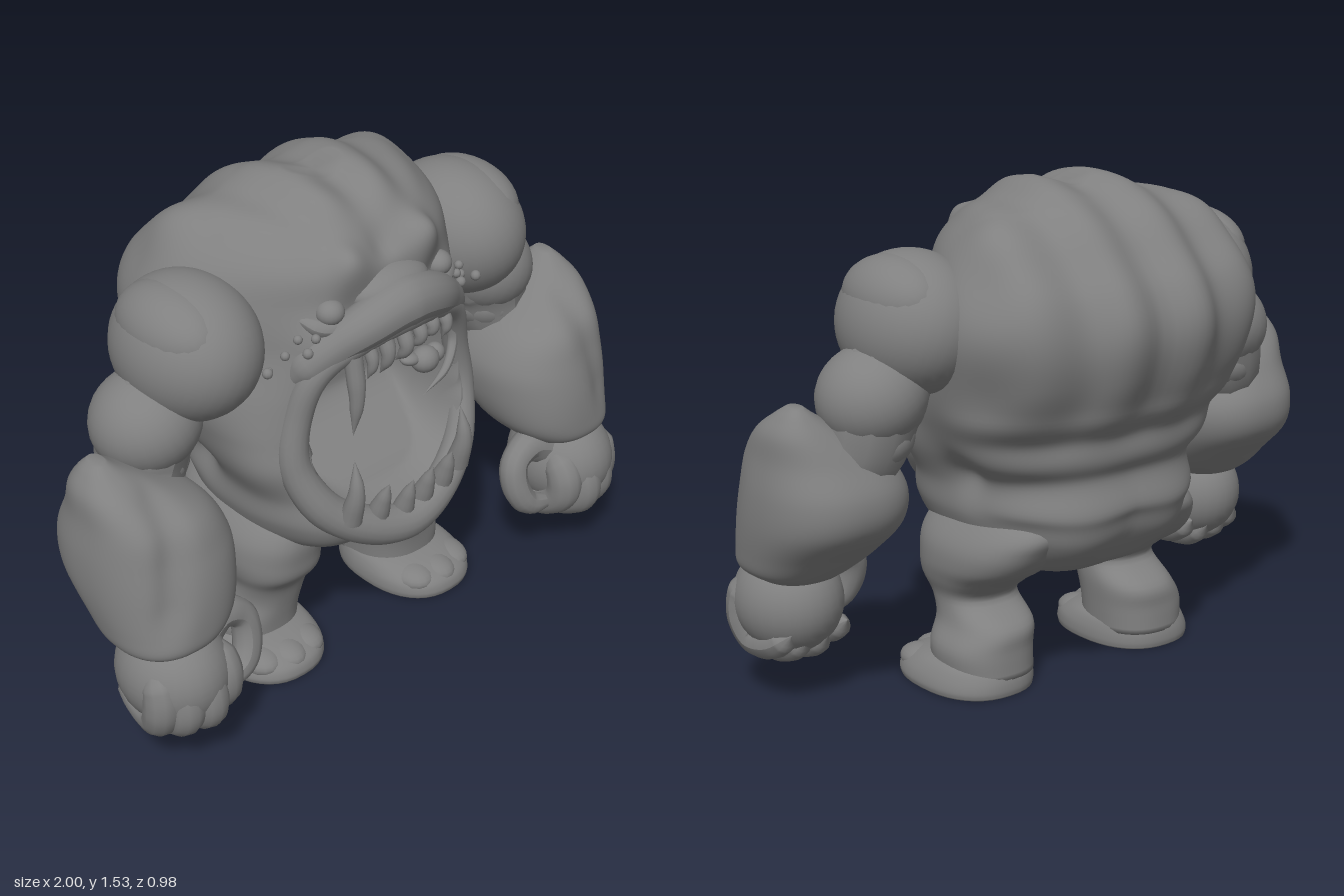
import * as THREE from 'three';

const { smoothstep, lerp } = THREE.MathUtils;
const V = (x, y, z) => new THREE.Vector3(x, y, z);
const bell = (d, r) => Math.exp(-(d * d) / (r * r));

export function createModel() {
  const model = new THREE.Group();
  model.name = 'ogre';
  const skin = new THREE.MeshStandardMaterial({ color: 0x808080 });
  skin.name = 'grey skin';

  const add = (name, geometry) => {
    const mesh = new THREE.Mesh(geometry, skin);
    mesh.name = name;
    model.add(mesh);
  };

  // Smooth stack of rounded rings, each [y, cx, rx, cz, rz], listed upwards and closed at both ends
  function loft(name, rings, { seg = 40, rows = 40, power = 0.85, deform } = {}) {
    const centres = new THREE.CatmullRomCurve3(rings.map(r => V(r[1], r[0], r[3])), false, 'catmullrom', 0.5);
    const radii = new THREE.CatmullRomCurve3(rings.map(r => V(r[2], 0, r[4])), false, 'catmullrom', 0.5);
    const pos = [], index = [];
    const put = v => { if (deform) deform(v); pos.push(v.x, v.y, v.z); };
    const bend = t => Math.sign(t) * Math.abs(t) ** power;
    for (let j = 0; j <= rows; j++) {
      const c = centres.getPoint(j / rows), r = radii.getPoint(j / rows);
      for (let i = 0; i < seg; i++) {
        const a = i / seg * Math.PI * 2;
        put(V(c.x + r.x * bend(Math.cos(a)), c.y, c.z + r.z * bend(Math.sin(a))));
      }
    }
    for (let j = 0; j < rows; j++) for (let i = 0; i < seg; i++) {
      const n = (i + 1) % seg, p = j * seg + i, q = j * seg + n;
      index.push(p, p + seg, q, q, p + seg, q + seg);
    }
    // end caps
    const low = pos.length / 3, top = rows * seg;
    put(centres.getPoint(0));
    put(centres.getPoint(1));
    for (let i = 0; i < seg; i++) {
      const n = (i + 1) % seg;
      index.push(low, i, n, low + 1, top + n, top + i);
    }
    const g = new THREE.BufferGeometry();
    g.setAttribute('position', new THREE.Float32BufferAttribute(pos, 3));
    g.setIndex(index);
    g.computeVertexNormals();
    add(name, g);
  }

  // Tube whose thickness follows a list of radii
  function limb(name, points, radii, { closed = false, steps = 28, sides = 12 } = {}) {
    const path = new THREE.CatmullRomCurve3(points.map(p => V(...p)), closed);
    const g = new THREE.TubeGeometry(path, steps, 1, sides, closed);
    const p = g.attributes.position, v = V(0, 0, 0);
    for (let i = 0; i <= steps; i++) {
      const c = path.getPointAt(i / steps), t = i / steps * (radii.length - 1);
      const k = Math.min(Math.floor(t), radii.length - 2), r = lerp(radii[k], radii[k + 1], t - k);
      for (let j = 0; j <= sides; j++) {
        const n = i * (sides + 1) + j;
        v.fromBufferAttribute(p, n).sub(c).multiplyScalar(r).add(c);
        p.setXYZ(n, v.x, v.y, v.z);
      }
    }
    if (!closed) g.computeVertexNormals();
    add(name, g);
  }

  function ball(name, [x, y, z], [rx, ry, rz], tilt = 0, detail = 28) {
    const g = new THREE.SphereGeometry(1, detail, Math.ceil(detail * 0.7));
    g.scale(rx, ry, rz).rotateZ(tilt).translate(x, y, z);
    add(name, g);
  }

  // Muscle lumps and hollows on the body: x, y, z, reach, height (mirrored)
  const lumps = [
    [0.18, 1.335, 0.29, 0.075, 0.055], [0.2, 1.24, 0.32, 0.05, -0.02], [0, 1.4, 0.3, 0.06, -0.025],
    [0.46, 0.86, -0.15, 0.13, 0.025], [0.17, 0.5, -0.3, 0.14, 0.03], [0.45, 1.15, -0.28, 0.13, 0.035],
    [0.36, 1.36, -0.15, 0.12, 0.02], [0.4, 0.68, -0.05, 0.07, -0.035], [0.11, 1.13, -0.45, 0.13, 0.025],
    [0.3, 1.12, 0.26, 0.1, 0.04], [0.37, 0.78, 0.22, 0.12, 0.03], [0.25, 0.5, 0.35, 0.1, 0.015],
  ];
  function sculptBody(v) {
    const dir = v.clone().sub(V(0, 0.85, 0)).normalize();
    let h = 0;
    for (const [x, y, z, r, k] of lumps) h += k * bell(V(Math.abs(v.x), v.y, v.z).distanceTo(V(x, y, z)), r);
    const back = smoothstep(-v.z, 0, 0.25);
    // long ridges over the back and crown, folds around the loins
    const ridge = Math.max(back * smoothstep(v.y, 0.75, 1), smoothstep(v.y, 1.4, 1.52));
    h -= 0.016 * ridge * Math.cos(v.x * Math.PI * 2 / 0.25);
    h += 0.012 * back * (1 - smoothstep(v.y, 0.8, 0.95)) * smoothstep(v.y, 0.5, 0.6) * Math.cos(v.y * Math.PI * 2 / 0.15);
    v.addScaledVector(dir, h);
    // the head narrows towards the face
    v.x *= 1 - 0.24 * smoothstep(v.z, -0.2, 0.28) * smoothstep(v.y, 0.85, 1.15);
    // mouth cavity with a floor sloping up to the lower lip
    if (v.z > 0.05) {
      const q = Math.abs(v.x / 0.29) ** 2.8 + Math.abs((v.y - 0.85) / 0.31) ** 2.8;
      const depth = Math.min(v.z, lerp(0.32, 0.06, smoothstep(v.y, 0.54, 0.8)));
      v.z = lerp(v.z, depth, 1 - smoothstep(q, 0.65, 1.05));
    }
  }
  loft('body', [
    [0.35, 0, 0.1, 0, 0.1], [0.38, 0, 0.24, -0.02, 0.19], [0.45, 0, 0.34, 0.04, 0.31], [0.55, 0, 0.39, 0.055, 0.375],
    [0.65, 0, 0.4, 0.05, 0.375], [0.75, 0, 0.44, 0.03, 0.365], [0.85, 0, 0.475, -0.01, 0.37], [1, 0, 0.53, -0.04, 0.4],
    [1.13, 0, 0.55, -0.05, 0.405], [1.25, 0, 0.53, -0.045, 0.38], [1.35, 0, 0.475, -0.015, 0.335],
    [1.43, 0, 0.38, -0.01, 0.26], [1.49, 0, 0.25, 0, 0.165], [1.52, 0, 0.1, 0, 0.06],
  ], { seg: 160, rows: 120, power: 0.82, deform: sculptBody });

  // Lips and the broad arched snout
  const halfLip = [[0.15, 1.155, 0.36], [0.265, 1.07, 0.31], [0.315, 0.93, 0.28], [0.335, 0.78, 0.29], [0.275, 0.63, 0.35], [0.15, 0.54, 0.4]];
  limb('lips', [[0, 1.19, 0.39], ...halfLip, [0, 0.5, 0.42],
    ...halfLip.slice().reverse().map(([x, y, z]) => [-x, y, z])],
  [0.045, 0.04, 0.04, 0.045, 0.055, 0.06, 0.055, 0.045, 0.04, 0.045], { closed: true, steps: 90, sides: 16 });
  limb('snout', [[-0.33, 1.0, 0.22], [-0.24, 1.12, 0.3], [-0.12, 1.2, 0.36], [0, 1.23, 0.372], [0.12, 1.2, 0.36], [0.24, 1.12, 0.3], [0.33, 1.0, 0.22]],
    [0.01, 0.06, 0.06, 0.07, 0.08, 0.07, 0.06, 0.06, 0.01], { steps: 48, sides: 18 });
  ball('noseBridge', [0, 1.26, 0.31], [0.14, 0.07, 0.09]);

  // Upper teeth: x, root y, tip y, thickness
  for (const [x, y, tip, r] of [[-0.18, 1.12, 0.86, 0.028], [-0.13, 1.14, 1.03, 0.02], [-0.08, 1.16, 1.03, 0.024],
    [-0.02, 1.16, 1.05, 0.024], [0.04, 1.16, 1.07, 0.022], [0.1, 1.15, 1.08, 0.022], [0.17, 1.13, 1.05, 0.02]])
    limb('upperTooth', [[x, y, 0.4 - Math.abs(x) * 0.2], [x, (y + tip) / 2, 0.42 - Math.abs(x) * 0.2], [x - 0.01, tip, 0.38]],
      [r, r, r * 0.7, 0], { steps: 12 });
  // Lower teeth: x, root y, tip y
  for (const [x, y, tip] of [[-0.225, 0.6, 0.81], [-0.12, 0.56, 0.7], [-0.02, 0.52, 0.67], [0.06, 0.54, 0.68], [0.14, 0.56, 0.7], [0.21, 0.6, 0.81]])
    limb('lowerTooth', [[x, y, 0.41], [x, (y + tip) / 2, 0.435], [x * 0.98, tip, Math.abs(x) > 0.18 ? 0.42 : 0.46]],
      [0.036, 0.03, 0.02, 0], { steps: 12 });
  // Hanging morsel and curved fang at the mouth corner
  ball('morsel', [0.06, 1.03, 0.41], [0.045, 0.04, 0.04], 0, 16);
  ball('morsel', [0.01, 1.045, 0.4], [0.035, 0.018, 0.025], -0.2, 16);
  ball('morsel', [0.12, 1.02, 0.39], [0.03, 0.03, 0.03], 0, 16);
  limb('curvedFang', [[0.26, 1.05, 0.3], [0.275, 0.96, 0.31], [0.22, 0.9, 0.34], [0.11, 0.86, 0.36]], [0.018, 0.016, 0.012, 0]);

  for (const s of [1, -1]) {
    // Sunken eyes with lower lids, and warts on the cheeks
    ball('eye', [s * 0.21, 1.245, 0.3], [0.043, 0.038, 0.043], 0, 20);
    limb('lowerLid', [[s * 0.14, 1.23, 0.31], [s * 0.19, 1.205, 0.32], [s * 0.24, 1.205, 0.305], [s * 0.29, 1.235, 0.24]], [0.01, 0.026, 0.026, 0.01]);
    for (const [x, y, z, r] of [[0.3, 1.15, 0.31, 0.016], [0.275, 1.19, 0.315, 0.014], [0.315, 1.19, 0.285, 0.014],
      [0.345, 1.14, 0.265, 0.014], [0.38, 1.09, 0.235, 0.013], [0.41, 1.11, 0.265, 0.016]])
      ball('wart', [s * x, y, z], [r, r, r], 0, 10);

    // Arm
    ball('shoulder', [s * 0.525, 1.155, 0.05], [0.2, 0.212, 0.245], s * 0.35, 36);
    ball('shoulderCap', [s * 0.58, 1.24, 0.05], [0.125, 0.115, 0.19], -s * 0.5);
    ball('upperArm', [s * 0.67, 0.965, 0.04], [0.165, 0.15, 0.165], -s * 0.4);
    limb('armCore', [[s * 0.58, 1.08, 0.04], [s * 0.67, 0.93, 0.04], [s * 0.7, 0.82, 0.05], [s * 0.76, 0.68, 0.12]], [0.13, 0.15, 0.13, 0.1]);
    ball('elbow', [s * 0.67, 0.84, 0.04], [0.12, 0.095, 0.13], -s * 0.3);
    loft('forearm', [
      [0.41, s * 0.81, 0.12, 0.25, 0.13], [0.44, s * 0.805, 0.165, 0.25, 0.17], [0.5, s * 0.785, 0.2, 0.22, 0.205],
      [0.6, s * 0.775, 0.222, 0.165, 0.25], [0.7, s * 0.775, 0.22, 0.145, 0.245], [0.8, s * 0.8, 0.18, 0.15, 0.2],
      [0.88, s * 0.86, 0.11, 0.13, 0.13], [0.93, s * 0.885, 0.055, 0.11, 0.07], [0.96, s * 0.89, 0.02, 0.1, 0.03],
    ], { seg: 72, rows: 48, deform: v => {
      // soft crease between the inner and outer muscle
      const crease = bell(Math.abs(v.x) - 0.86 + (v.y - 0.65) * 0.2, 0.05);
      v.z -= 0.025 * crease * smoothstep(v.z, 0.15, 0.28) * smoothstep(v.y, 0.45, 0.6);
    } });

    // Fist with curled fingers and an arched thumb
    ball('palm', [s * 0.81, 0.31, 0.3], [0.16, 0.165, 0.18]);
    [0.715, 0.785, 0.855, 0.91].forEach((x, i) => {
      const up = [0.03, 0, 0.005, 0.03][i], out = [-0.015, 0.005, -0.01, -0.045][i];
      limb('finger', [[s * x, 0.38, 0.35], [s * x, 0.29 + up, 0.42 + out], [s * x, 0.22 + up, 0.42 + out],
        [s * (x - 0.01), 0.165 + up, 0.34], [s * (x - 0.015), 0.17 + up, 0.25], [s * (x - 0.02), 0.22 + up, 0.16]],
      [0.03, 0.055, 0.058, 0.058, 0.056, 0.053, 0.05, 0.045, 0.038, 0], { steps: 36 });
    });
    limb('thumb', [[s * 0.73, 0.38, 0.3], [s * 0.64, 0.42, 0.31], [s * 0.57, 0.38, 0.32], [s * 0.565, 0.3, 0.34], [s * 0.6, 0.24, 0.36], [s * 0.68, 0.22, 0.38]],
      [0.08, 0.065, 0.052, 0.045, 0.045, 0.045, 0.043, 0.036, 0.02]);

    // Leg
    loft('leg', [
      [0.05, s * 0.3, 0.14, 0.02, 0.155], [0.13, s * 0.3, 0.145, 0.025, 0.155], [0.2, s * 0.28, 0.13, 0.035, 0.155],
      [0.27, s * 0.275, 0.125, 0.09, 0.12], [0.33, s * 0.275, 0.145, 0.085, 0.17], [0.39, s * 0.275, 0.158, 0.045, 0.22],
      [0.46, s * 0.265, 0.16, 0.02, 0.25], [0.53, s * 0.235, 0.145, 0, 0.25], [0.62, s * 0.2, 0.09, 0, 0.15],
    ]);
    // Foot
    loft('foot', [
      [0, s * 0.315, 0.172, 0.085, 0.222], [0.02, s * 0.315, 0.175, 0.085, 0.225], [0.05, s * 0.312, 0.168, 0.08, 0.215],
      [0.08, s * 0.308, 0.15, 0.06, 0.18], [0.1, s * 0.305, 0.12, 0.04, 0.13],
    ], { rows: 20 });
    for (const [x, z] of [[0.24, 0.2], [0.32, 0.215], [0.4, 0.19]])
      ball('toe', [s * x, 0.045, z], [0.065, 0.042, 0.085], 0, 18);
  }
  return model;
}
